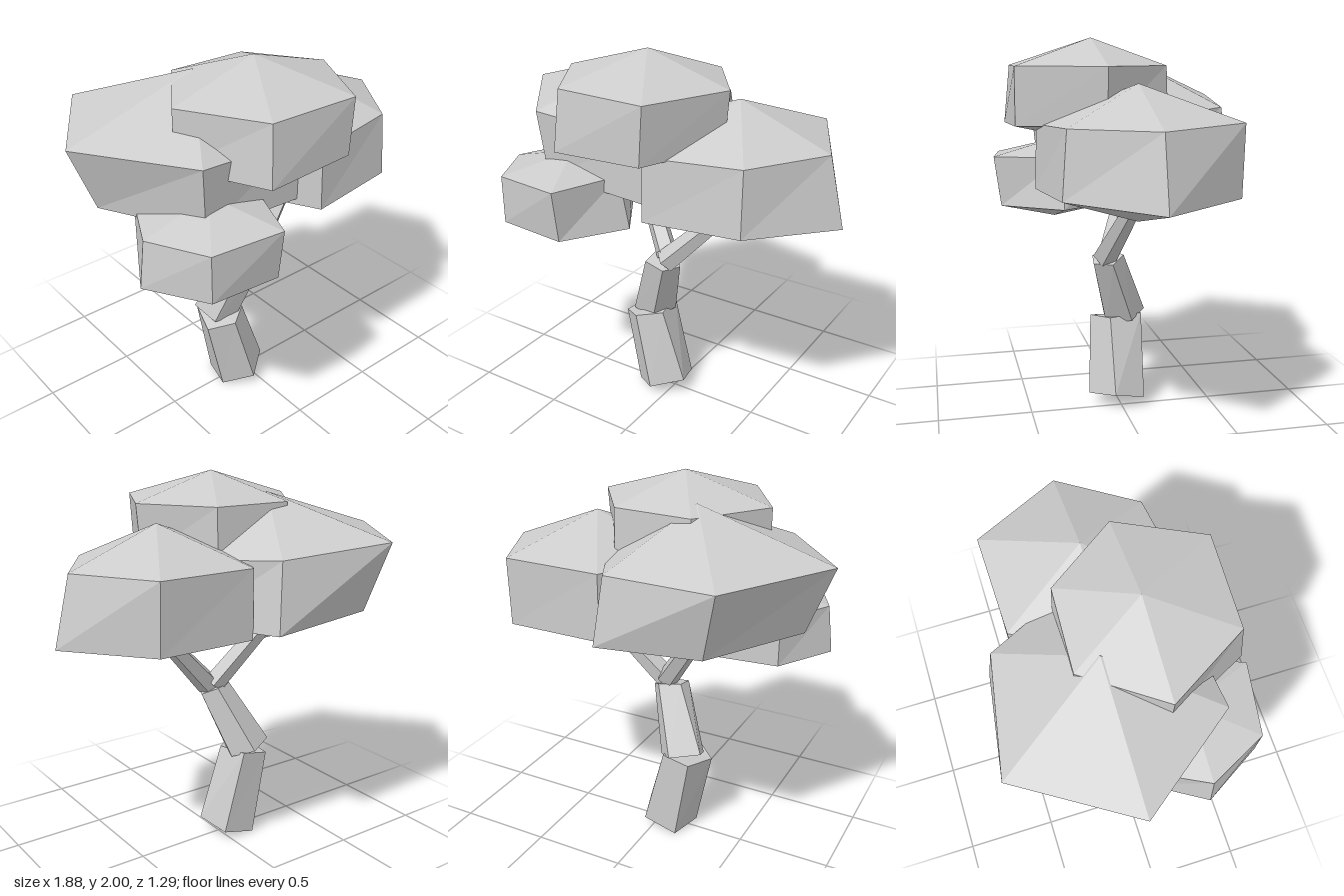
import * as THREE from 'three';

// Closed faceted solid from stacked rings (bottom to top) between two end points.
// Ring points run from +x towards +z.
function loft(bottom, rings, top) {
  const pos = [];
  const tri = (a, b, c) => pos.push(...a, ...b, ...c);
  const n = rings[0].length;
  const last = rings[rings.length - 1];
  for (let i = 0; i < n; i++) {
    const j = (i + 1) % n;
    tri(rings[0][i], rings[0][j], bottom);
    for (let k = 0; k + 1 < rings.length; k++) {
      const lo = rings[k], hi = rings[k + 1];
      tri(lo[j], lo[i], hi[i]);
      tri(lo[j], hi[i], hi[j]);
    }
    tri(last[j], last[i], top);
  }
  const geo = new THREE.BufferGeometry();
  geo.setAttribute('position', new THREE.Float32BufferAttribute(pos, 3));
  geo.computeVertexNormals();
  return geo;
}

const centre = ring => [0, 1, 2].map(k => ring.reduce((s, p) => s + p[k], 0) / ring.length);

export function createModel() {
  const tree = new THREE.Group();
  tree.name = 'tree';
  const grey = new THREE.MeshStandardMaterial({ color: 0xcccccc });
  grey.name = 'light grey';
  grey.flatShading = true;

  const add = (name, geo) => {
    const mesh = new THREE.Mesh(geo, grey);
    mesh.name = name;
    tree.add(mesh);
    return mesh;
  };

  // Trunk: two five-sided leaning logs
  const log = (name, lower, upper) => add(name, loft(centre(lower), [lower, upper], centre(upper)));
  log('lowerTrunk',
    [[0.09, 0.09, 0.05], [-0.06, 0.06, 0.17], [-0.2, 0.01, 0.06], [-0.15, 0, -0.12], [0.04, 0.05, -0.12]],
    [[-0.05, 0.49, 0.05], [-0.17, 0.48, 0.14], [-0.29, 0.44, 0.05], [-0.23, 0.47, -0.13], [-0.08, 0.5, -0.13]]);
  log('upperTrunk',
    [[-0.04, 0.47, -0.07], [-0.11, 0.44, 0.06], [-0.24, 0.47, 0.05], [-0.28, 0.53, -0.08], [-0.13, 0.51, -0.16]],
    [[0.07, 0.82, 0.06], [0.02, 0.82, 0.155], [-0.1, 0.84, 0.14], [-0.1, 0.86, 0.04], [0.01, 0.86, -0.01]]);

  // Branches: thin five-sided tapers reaching into the foliage
  const branch = (name, from, to, rBase, rTip) => {
    const a = new THREE.Vector3(...from), b = new THREE.Vector3(...to);
    const dir = b.clone().sub(a);
    const mesh = add(name, new THREE.CylinderGeometry(rTip, rBase, dir.length(), 5));
    mesh.position.copy(a).add(b).multiplyScalar(0.5);
    mesh.quaternion.setFromUnitVectors(new THREE.Vector3(0, 1, 0), dir.normalize());
  };
  branch('leftBranch', [0, 0.85, 0.09], [0.36, 1.22, 0], 0.065, 0.042);
  branch('rightBranch', [-0.01, 0.87, 0.06], [-0.27, 1.24, -0.1], 0.06, 0.048);

  // Foliage: six-sided clumps
  add('leftFoliage', loft([0.37, 1.11, 0], [
    [[0.935, 1.235, 0], [0.61, 1.26, 0.41], [0.11, 1.25, 0.47], [-0.16, 1.26, 0], [0.11, 1.25, -0.44], [0.63, 1.25, -0.44]],
    [[0.85, 1.59, 0], [0.6, 1.59, 0.385], [0.11, 1.575, 0.46], [-0.14, 1.59, 0], [0.11, 1.6, -0.44], [0.63, 1.605, -0.45]],
  ], [0.37, 1.78, 0]));

  add('rightFoliage', loft([-0.25, 1.15, -0.09], [
    [[0.25, 1.27, -0.08], [0.06, 1.285, 0.36], [-0.53, 1.33, 0.38], [-0.81, 1.35, -0.09], [-0.5, 1.33, -0.56], [0.06, 1.29, -0.58]],
    [[0.26, 1.6, -0.08], [0.05, 1.61, 0.36], [-0.56, 1.67, 0.41], [-0.94, 1.69, -0.09], [-0.59, 1.68, -0.645], [0.02, 1.64, -0.54]],
  ], [-0.24, 1.9, -0.09]));

  add('topFoliage', loft([-0.1, 1.46, 0.15], [
    [[0.37, 1.58, 0.15], [0.17, 1.57, 0.57], [-0.31, 1.555, 0.58], [-0.53, 1.56, 0.15], [-0.27, 1.57, -0.22], [0.15, 1.58, -0.21]],
    [[0.395, 1.86, 0.15], [0.19, 1.86, 0.57], [-0.29, 1.86, 0.55], [-0.53, 1.86, 0.15], [-0.27, 1.86, -0.22], [0.15, 1.86, -0.2]],
  ], [-0.06, 2, 0.15]));

  add('lowFoliage', loft([-0.48, 1, 0.29], [
    [[-0.09, 1.095, 0.29], [-0.29, 1.1, 0.61], [-0.66, 1.11, 0.59], [-0.84, 1.11, 0.29], [-0.66, 1.11, -0.01], [-0.29, 1.1, -0.03]],
    [[-0.15, 1.37, 0.29], [-0.29, 1.37, 0.645], [-0.66, 1.36, 0.59], [-0.81, 1.355, 0.29], [-0.66, 1.36, -0.01], [-0.29, 1.37, -0.04]],
  ], [-0.44, 1.45, 0.29]));

  return tree;
}
